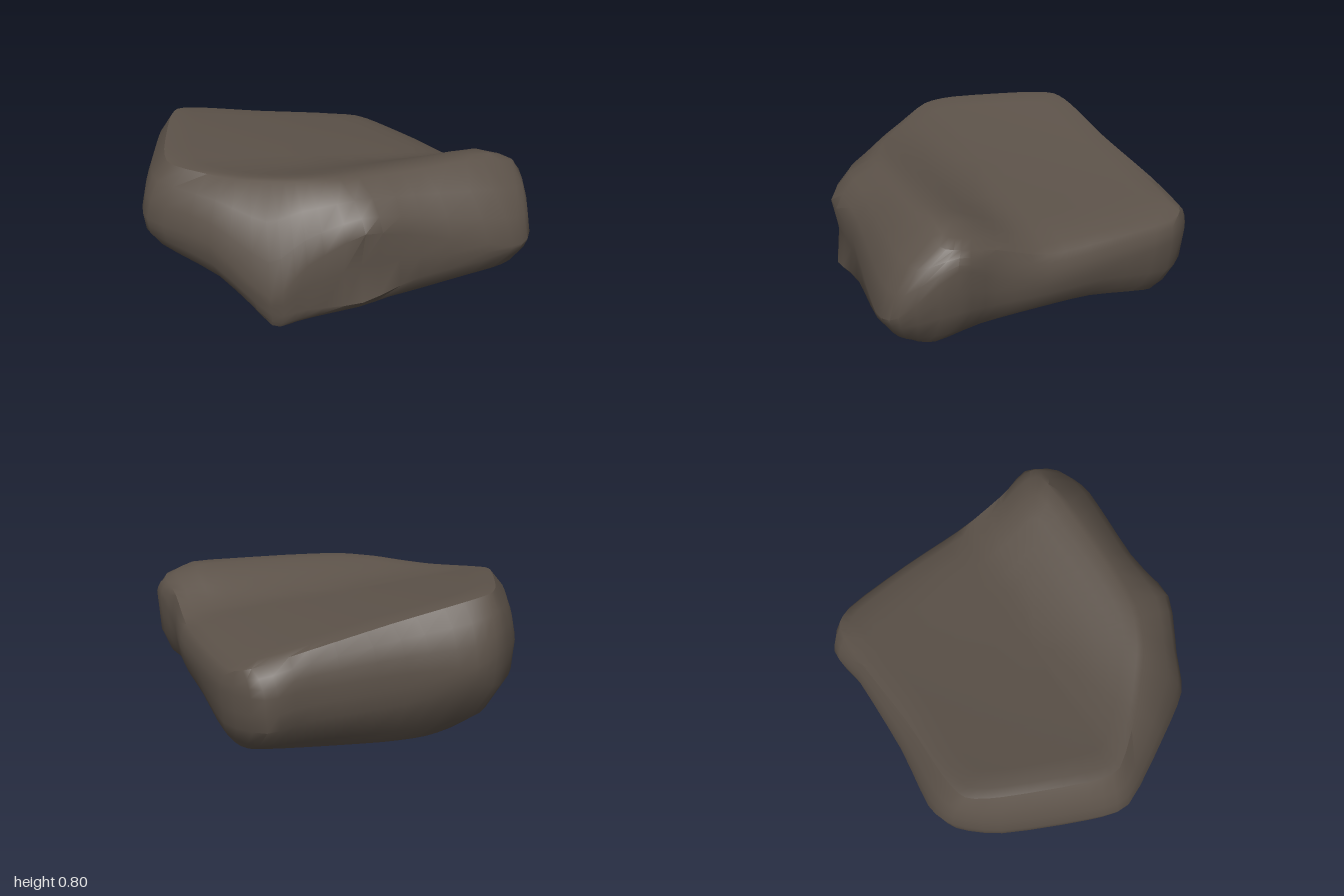
import * as THREE from 'three';
import { toCreasedNormals } from 'three/addons/utils/BufferGeometryUtils.js';

const SEGMENTS = 60;
const { lerp, smoothstep } = THREE.MathUtils;

// Outlines run left, back, right, front. Top rim: x, z
const topRim = [
  [-0.85, -0.03], [-0.82, -0.22], [-0.63, -0.64], [-0.52, -0.8], [-0.35, -0.83],
  [0.05, -0.82], [0.5, -0.84], [0.79, -0.83], [0.88, -0.72], [0.92, -0.3],
  [0.93, 0.1], [0.93, 0.4], [0.95, 0.6], [0.9, 0.69], [0.6, 0.68],
  [0.2, 0.66], [-0.15, 0.61], [-0.36, 0.5], [-0.5, 0.38], [-0.65, 0.23],
];
// Widest outline: x, z, upper y, lower y
const girth = [
  [-1, -0.05, 0.45, 0.36], [-0.94, -0.28, 0.48, 0.35], [-0.72, -0.72, 0.5, 0.33],
  [-0.54, -0.92, 0.52, 0.32], [-0.37, -0.97, 0.46, 0.36], [0, -0.92, 0.45, 0.28],
  [0.5, -0.9, 0.42, 0.25], [0.75, -0.92, 0.4, 0.22], [0.92, -0.7, 0.4, 0.22],
  [0.96, -0.25, 0.4, 0.3], [0.97, 0.1, 0.4, 0.31], [0.955, 0.4, 0.47, 0.32],
  [1, 0.64, 0.6, 0.36], [0.89, 0.91, 0.36, 0.29], [0.73, 0.97, 0.33, 0.28],
  [0.2, 0.88, 0.47, 0.22], [-0.15, 0.87, 0.55, 0.15], [-0.42, 0.75, 0.38, 0.12],
  [-0.6, 0.68, 0.2, 0.1], [-0.8, 0.35, 0.42, 0.3],
];
// Bottom rim: x, z, y
const bottomRim = [
  [-0.86, 0, 0.25], [-0.78, -0.3, 0.2], [-0.55, -0.6, 0.1], [-0.4, -0.7, 0.04],
  [-0.2, -0.72, 0.005], [0.05, -0.72, 0.005], [0.5, -0.71, 0.035], [0.78, -0.69, 0.06],
  [0.86, -0.58, 0.1], [0.88, -0.2, 0.18], [0.89, 0.12, 0.2], [0.86, 0.45, 0.18],
  [0.85, 0.7, 0.14], [0.78, 0.8, 0.14], [0.6, 0.8, 0.12], [0.2, 0.77, 0.09],
  [-0.15, 0.74, 0.07], [-0.45, 0.69, 0.035], [-0.58, 0.65, 0.025], [-0.7, 0.38, 0.18],
];

// Tilted back slab rising into a ridge along the front
function topHeight(x, z) {
  const tilt = (Math.max(0, -z) / 0.85) * (0.05 - 0.09 * x);
  const back = Math.min(0.81, 0.665 - 0.11 * x + tilt);
  const ridge = 0.768 - 0.3 * Math.max(0, x - 0.8);
  return lerp(back, ridge, smoothstep(z, 0.1, 0.62)) - 0.025 * smoothstep(x, 0.7, 0.95);
}

// Hollow running across the underside, deeper towards one side
const hollowHeight = (x, z) =>
  0.165 - 0.23 * (Math.hypot(z - 0.12, 0.1) - 0.1) + 0.06 * smoothstep(x, -0.4, 0.4);

// Smooth closed ring through the control points
function ring(points) {
  const curve = new THREE.CatmullRomCurve3(points, true, 'catmullrom', 0.35);
  return Array.from({ length: SEGMENTS }, (_, i) => curve.getPoint(i / SEGMENTS));
}

// Ring part of the way from a to b, with separate sideways and downward amounts
const between = (a, b, across, down) => a.map((p, i) => new THREE.Vector3(
  lerp(p.x, b[i].x, across), lerp(p.y, b[i].y, down), lerp(p.z, b[i].z, across)));

function stoneGeometry() {
  const top = ring(topRim.map(([x, z]) => new THREE.Vector3(x, topHeight(x, z) - 0.012, z)));
  const upper = ring(girth.map(([x, z, y]) => new THREE.Vector3(x, y, z)));
  const lower = ring(girth.map(([x, z, , y]) => new THREE.Vector3(x * 0.985, y, z * 0.985)));
  const base = ring(bottomRim.map(([x, z, y]) => new THREE.Vector3(x, y, z)));
  const rings = [];

  // Top face, from its centre to the rim
  for (const f of [0, 0.2, 0.4, 0.55, 0.7, 0.82, 0.94]) {
    rings.push(top.map((p) => new THREE.Vector3(p.x * f, topHeight(p.x * f, p.z * f), p.z * f)));
  }
  rings.push(top);

  // Shallow dent in the front wall
  const waist = between(upper, lower, 0.5, 0.5);
  for (const p of waist) {
    if (p.z > 0) p.z -= 0.035 * Math.exp(-(((p.x + 0.1) / 0.25) ** 2));
  }

  // Rounded shoulder, side wall and lower chamfer
  rings.push(
    between(top, upper, 0.55, 0.3), between(top, upper, 0.84, 0.65),
    upper, waist, lower, between(lower, base, 0.45, 0.65), base);

  // Underside, from the rim to its centre
  for (const f of [0.85, 0.65, 0.45, 0.22, 0]) {
    const blend = smoothstep(1 - f, 0, 0.6);
    rings.push(base.map((p) => new THREE.Vector3(
      p.x * f, lerp(p.y, hollowHeight(p.x * f, p.z * f), blend), p.z * f)));
  }

  // Skin the rings; the first and last ones are single points
  const positions = rings.flat().flatMap((p) => [p.x, p.y, p.z]);
  const index = [];
  for (let r = 0; r < rings.length - 1; r++) {
    for (let i = 0; i < SEGMENTS; i++) {
      const j = (i + 1) % SEGMENTS;
      const a = r * SEGMENTS + i, b = r * SEGMENTS + j;
      const c = a + SEGMENTS, d = b + SEGMENTS;
      if (r > 0) index.push(a, b, d);
      if (r < rings.length - 2) index.push(a, d, c);
    }
  }
  const geometry = new THREE.BufferGeometry();
  geometry.setAttribute('position', new THREE.Float32BufferAttribute(positions, 3));
  geometry.setIndex(index);
  return toCreasedNormals(geometry, 0.7);
}

export function createModel() {
  const model = new THREE.Group();
  model.name = 'rock';
  const stone = new THREE.MeshStandardMaterial({ color: 0x5c5249 });
  stone.name = 'brown grey stone';
  const boulder = new THREE.Mesh(stoneGeometry(), stone);
  boulder.name = 'boulder';
  model.add(boulder);
  return model;
}
